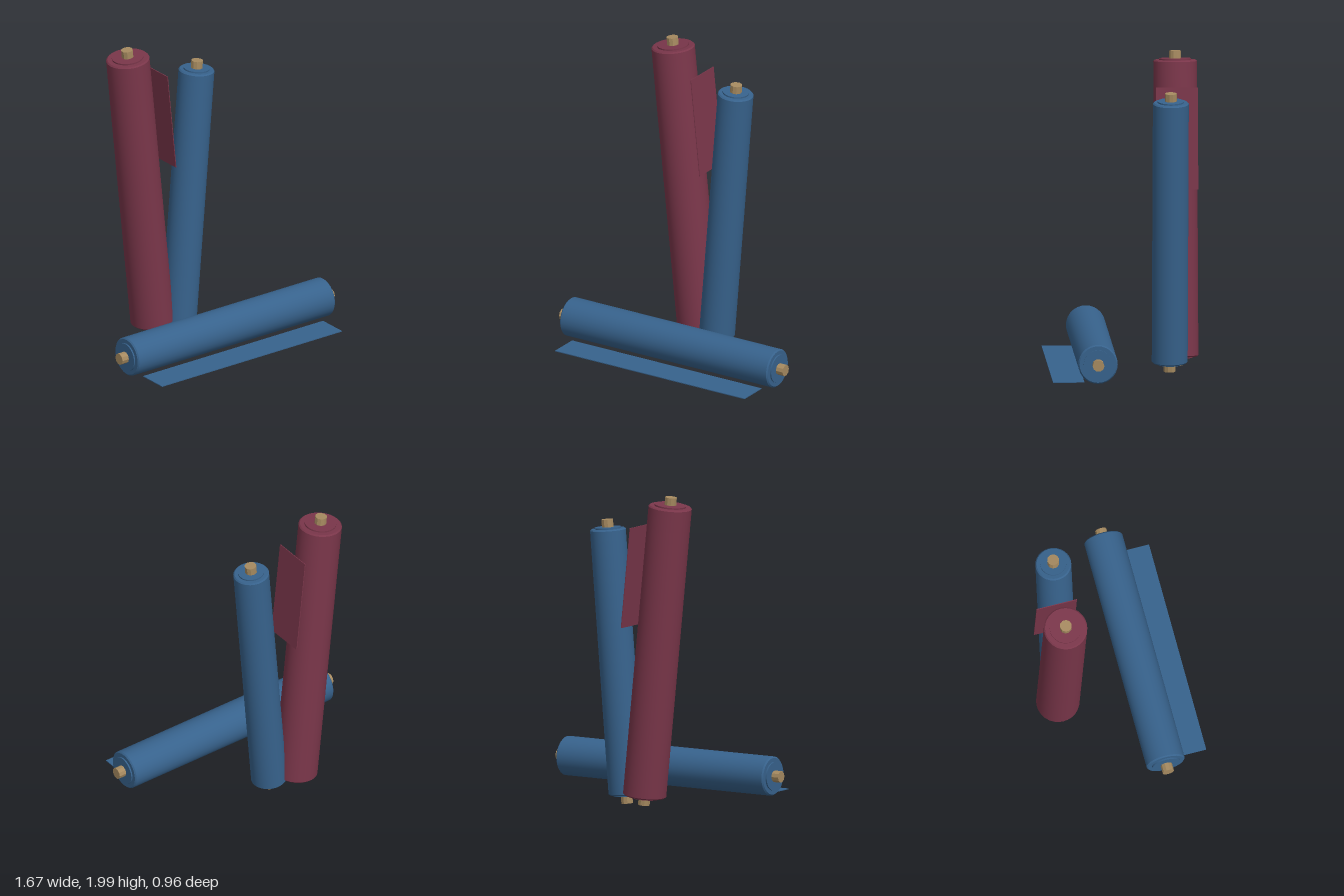
import * as THREE from 'three';
import { toCreasedNormals } from 'three/addons/utils/BufferGeometryUtils.js';

const blue = new THREE.MeshStandardMaterial({ color: 0x37628c });
const maroon = new THREE.MeshStandardMaterial({ color: 0x7a364a });
const cardboard = new THREE.MeshStandardMaterial({ color: 0xa68a60 });
blue.name = 'blueFabric';
maroon.name = 'maroonFabric';
cardboard.name = 'cardboardCore';

function addMesh(parent, name, geometry, material) {
  const mesh = new THREE.Mesh(geometry, material);
  mesh.name = name;
  parent.add(mesh);
  return mesh;
}

// A wound bolt along y: bevelled body, raised inner windings at both ends, core through the middle
function createRoll(name, { radius, length, coreLength, coreRadius, material }) {
  const roll = new THREE.Group();
  roll.name = name;
  const half = length / 2;
  const bevel = 0.008;
  const inner = radius * 0.73;
  const end = [
    [radius, half - bevel], [radius - bevel, half],
    [inner, half], [inner, half + 0.009], [0, half + 0.009],
  ];
  const profile = [
    ...end.map(([r, y]) => new THREE.Vector2(r, -y)).reverse(),
    ...end.map(([r, y]) => new THREE.Vector2(r, y)),
  ];
  addMesh(roll, 'woundFabric', toCreasedNormals(new THREE.LatheGeometry(profile, 28), 0.6), material);
  const core = new THREE.CylinderGeometry(coreRadius, coreRadius, coreLength, 10);
  addMesh(roll, 'core', toCreasedNormals(core, 0.4), cardboard);
  return roll;
}

export function createModel() {
  const model = new THREE.Group();
  model.name = 'fabricRolls';

  // Tall roll leaning to its right
  const tall = createRoll('tallRoll', {
    radius: 0.137, length: 1.865, coreLength: 1.98, coreRadius: 0.038, material: maroon,
  });
  tall.position.set(-0.261, 1.004, -0.343);
  tall.rotation.z = 0.1035;
  model.add(tall);

  // Shorter roll leaning the other way
  const short = createRoll('shortRoll', {
    radius: 0.113, length: 1.68, coreLength: 1.796, coreRadius: 0.038, material: blue,
  });
  short.position.set(0.075, 0.904, -0.291);
  short.rotation.z = -0.0835;
  model.add(short);

  // Roll lying across the front
  const lying = createRoll('lyingRoll', {
    radius: 0.124, length: 1.552, coreLength: 1.67, coreRadius: 0.037, material: blue,
  });
  lying.position.set(0, 0.183, 0.198);
  lying.rotation.z = -Math.PI / 2;
  model.add(lying);

  // Loose cloth ends
  const flatSheet = addMesh(model, 'flatLooseEnd', new THREE.BoxGeometry(1.415, 0.005, 0.197), blue);
  flatSheet.position.set(0, 0.06, 0.379);

  const hangingSheet = addMesh(model, 'hangingLooseEnd', new THREE.BoxGeometry(0.005, 0.643, 0.262), maroon);
  hangingSheet.position.set(-0.108, 1.47, -0.344);
  hangingSheet.rotation.z = 0.1035;

  return model;
}
